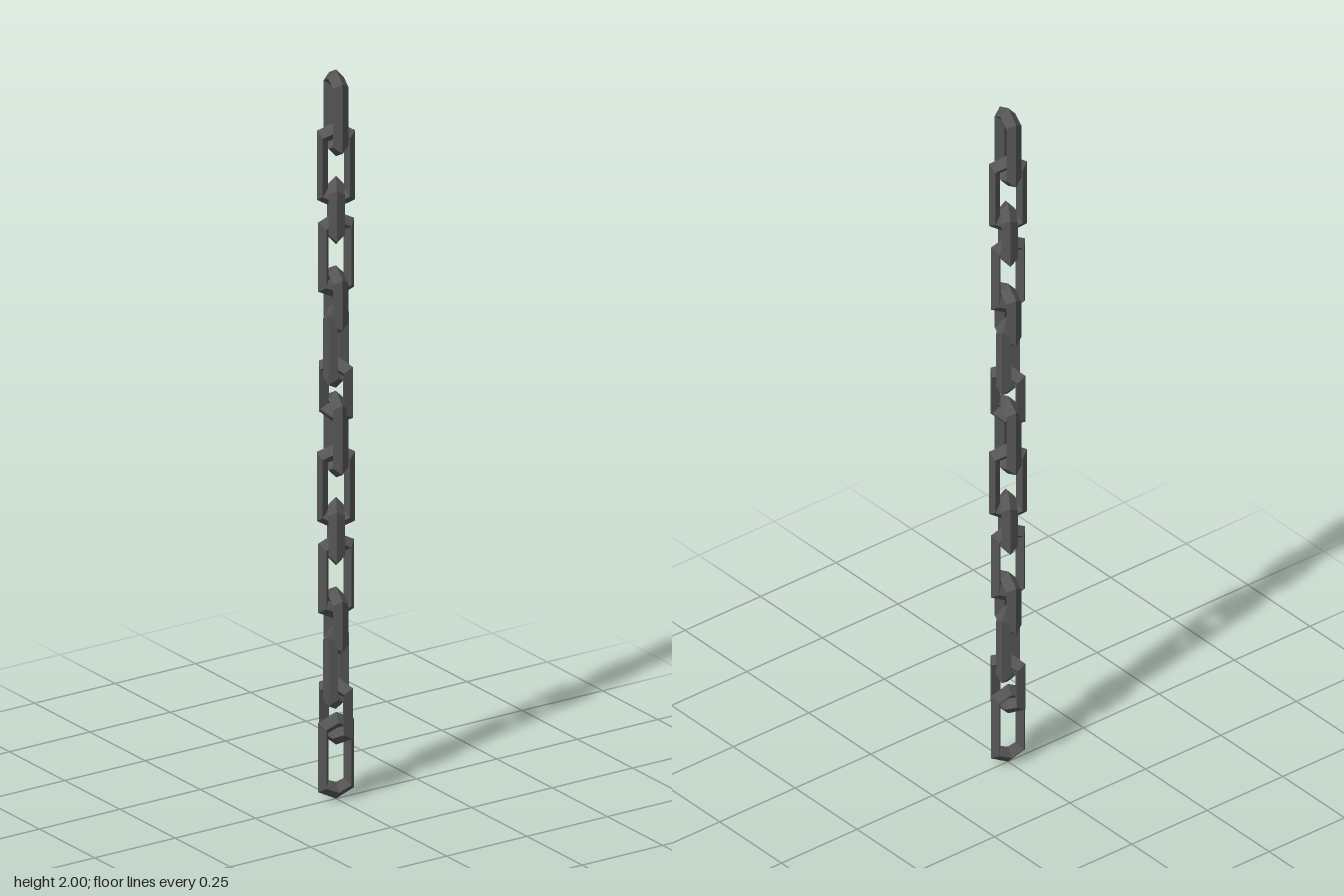
import * as THREE from 'three';

// Six-cornered ring with a diamond cross-section; cut shortens each half of the link
function linkGeometry(cut) {
  // half width, shoulder height, tip height, depth for each edge loop
  const loops = [
    [0.049, 0.095, 0.119, 0],
    [0.035, 0.080, 0.096, 0.021],
    [0.021, 0.065, 0.073, 0],
    [0.035, 0.080, 0.096, -0.021],
  ];
  const positions = [];
  const index = [];
  for (const [w, shoulder, tip, z] of loops) {
    const s = shoulder - cut, t = tip - cut;
    positions.push(0, t, z, -w, s, z, -w, -s, z, 0, -t, z, w, -s, z, w, s, z);
  }
  for (let i = 0; i < 4; i++) {
    for (let j = 0; j < 6; j++) {
      const a = i * 6 + j, b = i * 6 + (j + 1) % 6;
      const c = ((i + 1) % 4) * 6 + (j + 1) % 6, d = ((i + 1) % 4) * 6 + j;
      index.push(a, b, c, a, c, d);
    }
  }
  const indexed = new THREE.BufferGeometry();
  indexed.setAttribute('position', new THREE.Float32BufferAttribute(positions, 3));
  indexed.setIndex(index);
  const geometry = indexed.toNonIndexed();
  geometry.computeVertexNormals();
  return geometry;
}

export function createModel() {
  const chain = new THREE.Group();
  chain.name = 'chain';
  const metal = new THREE.MeshStandardMaterial({ color: 0x555555, flatShading: true });
  const longLink = linkGeometry(0);
  const shortLink = linkGeometry(0.025);

  // Turn of each link in a repeating run of seven, from the top down
  const turns = [76, 148, 58, 167, 76, 32, 117];
  const isShort = [false, false, true, false, true, false, true];

  let y = 2 - 0.119;
  for (let i = 0; i < 15; i++) {
    const k = i % 7;
    const short = isShort[k];
    const link = new THREE.Mesh(short ? shortLink : longLink, metal);
    link.name = short ? 'shortLink' : 'longLink';
    link.position.y = y;
    // The last link hangs crosswise to the one that starts each run
    link.rotation.y = THREE.MathUtils.degToRad(i === 14 ? 167 : turns[k]);
    chain.add(link);
    y -= k === 0 ? 0.143 : 0.123; // two long links meet after the first of a run
  }
  return chain;
}
